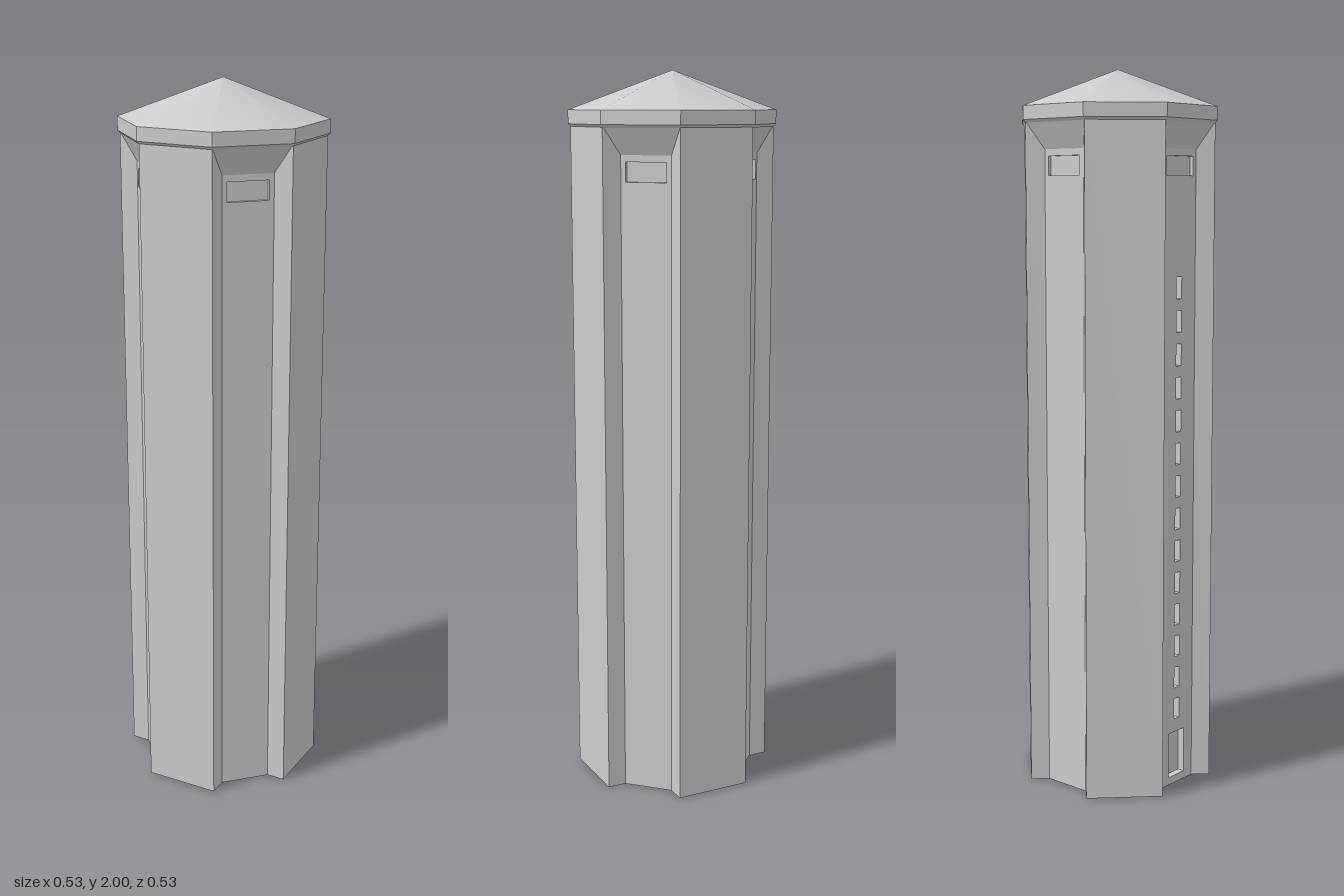
import * as THREE from 'three';

export function createModel() {
  const tower = new THREE.Group();
  tower.name = 'tower';
  const stone = new THREE.MeshStandardMaterial({ color: 0xcccccc });
  stone.name = 'lightGrey';

  const A = 0.257;          // octagon apothem of the shaft
  const H = 0.106;          // half width of a main face
  const R = 0.205;          // recessed corner line
  const TOP = 1.855;        // underside of the roof slab
  const THICK = 0.03;       // corner panel thickness
  const DIST = (H + R) / Math.SQRT2;

  const add = (parent, name, geometry) => {
    const mesh = new THREE.Mesh(geometry, stone);
    mesh.name = name;
    parent.add(mesh);
    return mesh;
  };
  const flat = (g) => {
    const f = g.index ? g.toNonIndexed() : g;
    f.computeVertexNormals();
    return f;
  };
  const octagon = (rTop, rBottom, y0, y1, open) => {
    const k = 1 / Math.cos(Math.PI / 8);
    const g = new THREE.CylinderGeometry(rTop * k, rBottom * k, y1 - y0, 8, 1, open);
    return g.rotateY(Math.PI / 8).translate(0, (y0 + y1) / 2, 0);
  };

  // Shaft core: four main faces with notched corners
  const c = R - THICK * Math.SQRT2;
  const plan = [];
  for (let i = 0; i < 4; i++) {
    const a = i * Math.PI / 2;
    for (const [x, y] of [[A, -H], [A, H], [c, H], [H, c]]) {
      plan.push(new THREE.Vector2(x * Math.cos(a) - y * Math.sin(a), x * Math.sin(a) + y * Math.cos(a)));
    }
  }
  const core = new THREE.ExtrudeGeometry(new THREE.Shape(plan), { depth: TOP, bevelEnabled: false });
  add(tower, 'shaft', core.rotateX(-Math.PI / 2));

  // Recessed corner panels with openings
  const W = (R - H) * Math.SQRT2;
  const opening = (w, y0, y1) => {
    const p = new THREE.Path();
    p.moveTo(-w / 2, y0).lineTo(-w / 2, y1).lineTo(w / 2, y1).lineTo(w / 2, y0).closePath();
    return p;
  };
  for (let i = 0; i < 4; i++) {
    const corner = new THREE.Group();
    corner.name = 'corner' + (i + 1);
    corner.rotation.y = -Math.PI / 4 + i * Math.PI / 2;
    tower.add(corner);

    const panel = new THREE.Shape();
    panel.moveTo(-W / 2, 0).lineTo(W / 2, 0).lineTo(W / 2, TOP).lineTo(-W / 2, TOP).closePath();
    const recess = (name, w, y0, y1, depth) => {
      panel.holes.push(opening(w, y0, y1));
      if (depth < THICK) {
        const t = THICK - depth;
        add(corner, name, new THREE.BoxGeometry(w, y1 - y0, t)
          .translate(0, (y0 + y1) / 2, DIST - depth - t / 2));
      }
    };
    recess('window', 0.113, 1.71, 1.762, 0.01);
    // Door and stair slits on the front corner
    if (i === 0) {
      recess('door', 0.068, 0.022, 0.152, 0.02);
      for (let s = 0; s < 14; s++) recess('slit', 0.022, 0.19 + s * 0.0915, 0.25 + s * 0.0915, THICK);
    }
    add(corner, 'cornerPanel', new THREE.ExtrudeGeometry(panel, { depth: THICK, bevelEnabled: false })
      .translate(0, 0, DIST - THICK));

    // Flare carrying the roof slab over the recess
    const w1 = (A - H) / Math.SQRT2, d1 = (A + H) / Math.SQRT2, y0 = 1.78;
    const flare = new THREE.BufferGeometry();
    flare.setAttribute('position', new THREE.Float32BufferAttribute([
      -W / 2, y0, DIST, W / 2, y0, DIST, w1, TOP, d1, -w1, TOP, d1], 3));
    flare.setIndex([0, 1, 2, 0, 2, 3]);
    add(corner, 'flare', flat(flare));
  }

  // Roof: chamfered slab and low pointed cap
  add(tower, 'roofSlabChamfer', flat(octagon(0.263, 0.256, 1.85, 1.858, true)));
  add(tower, 'roofSlab', flat(octagon(0.263, 0.263, 1.858, 1.895, false)));
  add(tower, 'roofCap', octagon(0, 0.263, 1.895, 2, true));

  return tower;
}
